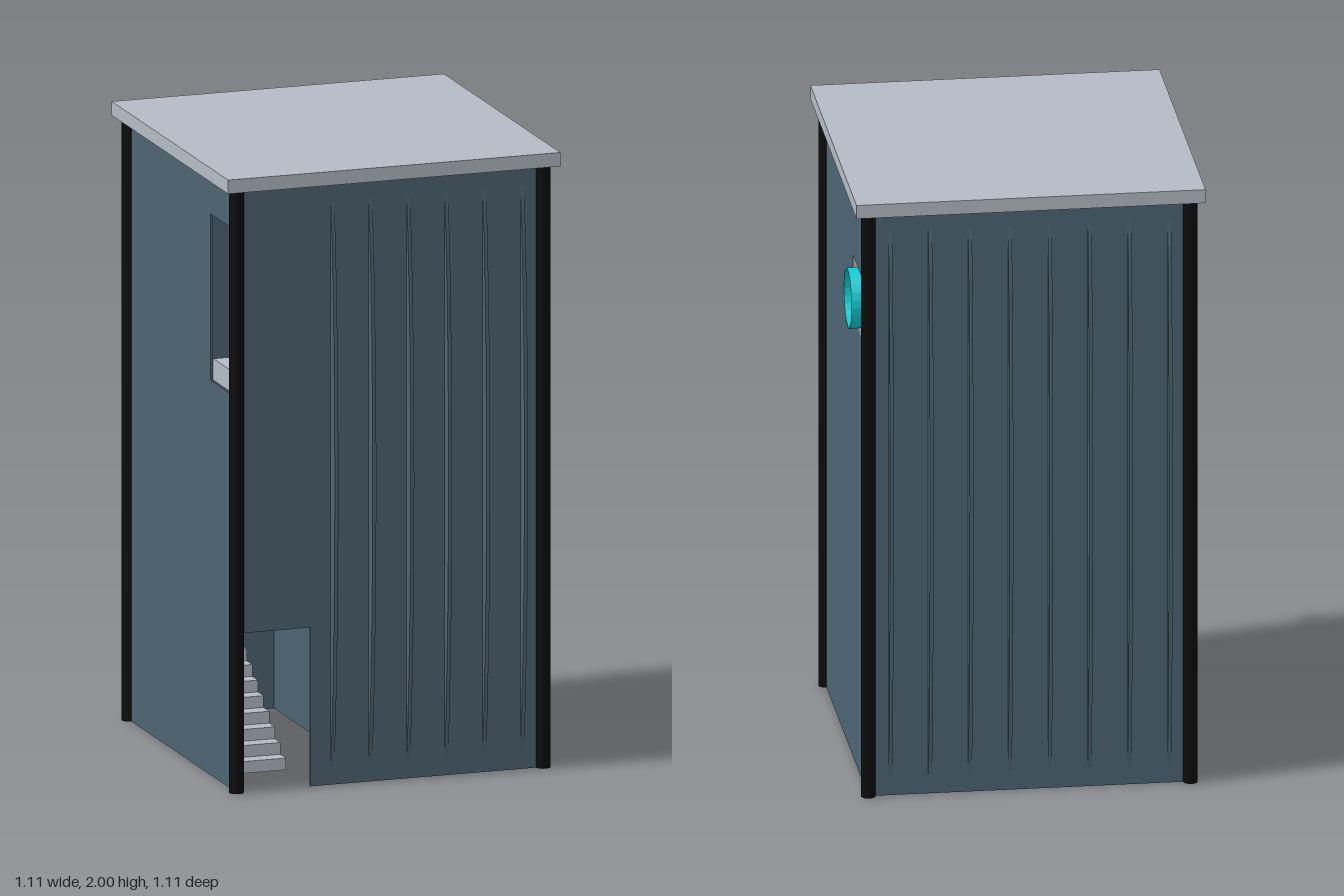
import * as THREE from 'three';

const H = 1.955; // wall height, underside of the roof
const W = 0.512; // distance of the walls from the centre
const T = 0.008; // wall thickness

export function createModel() {
  const model = new THREE.Group();
  const mat = (name, color) => {
    const m = new THREE.MeshStandardMaterial({ color });
    m.name = name;
    return m;
  };
  const blue = mat('slate blue', 0x4d6573);
  const grey = mat('light grey', 0xb4bbc4);
  const black = mat('black', 0x0b0b0b);
  const cyan = mat('cyan', 0x12cdd4);

  const add = (name, geometry, material, x = 0, y = 0, z = 0) => {
    const mesh = new THREE.Mesh(geometry, material);
    mesh.name = name;
    mesh.position.set(x, y, z);
    model.add(mesh);
    return mesh;
  };
  const box = (name, material, x0, x1, y0, y1, z0, z1) =>
    add(name, new THREE.BoxGeometry(x1 - x0, y1 - y0, z1 - z0), material,
      (x0 + x1) / 2, (y0 + y1) / 2, (z0 + z1) / 2);
  const shapeOf = (pts) => new THREE.Shape(pts.map(([x, y]) => new THREE.Vector2(x, y)));
  const extrude = (shape, depth) =>
    new THREE.ExtrudeGeometry(shape, { depth, bevelEnabled: false });

  // Roof slab
  box('roof', grey, -0.555, 0.555, H, 2, -0.555, 0.555);

  // Front wall with the doorway notch, and plain back wall
  const doorRight = -0.265, doorTop = 0.515;
  const front = shapeOf([[doorRight, 0], [W, 0], [W, H], [-W, H], [-W, doorTop], [doorRight, doorTop]]);
  add('frontWall', extrude(front, T), blue, 0, 0, W - T);
  box('backWall', blue, -W, W, 0, H, -W, -W + T);

  // Side walls, each with one rectangular opening given in z and y
  const sideWall = (name, x, z0, z1, y0, y1) => {
    const wall = shapeOf([[-W, 0], [W, 0], [W, H], [-W, H]]);
    // the shape's x axis becomes -z once the wall is turned
    wall.holes.push(shapeOf([[-z1, y0], [-z1, y1], [-z0, y1], [-z0, y0]]));
    add(name, extrude(wall, T), blue, x).rotation.y = Math.PI / 2;
  };
  sideWall('leftWall', W - T, -0.36, -0.145, 1.48, 1.685);
  sideWall('rightWall', -W, 0.265, 0.49, 1.28, 1.82);

  // Round corner posts
  for (const x of [-1, 1]) for (const z of [-1, 1]) {
    add('cornerPost', new THREE.CylinderGeometry(0.0235, 0.0235, H, 20), black, x * W, H / 2, z * W);
  }

  // Bowed ribs: six on the front, eight on the back
  const profile = [];
  for (let i = 0; i <= 16; i++) {
    const t = i / 16;
    profile.push([0.04 * Math.pow(Math.sin(Math.PI * t), 0.7), 0.065 + 1.825 * t]);
  }
  const ribGeo = extrude(shapeOf(profile), 0.012);
  ribGeo.translate(0, 0, -0.006);
  for (let i = 0; i < 8; i++) {
    const x = -0.445 + i * 0.1267;
    if (i > 1) add('frontRib', ribGeo, blue, x, 0, W).rotation.y = -Math.PI / 2;
    add('backRib', ribGeo, blue, x, 0, -W).rotation.y = Math.PI / 2;
  }

  // Inner partition
  box('partition', blue, -0.03, -0.022, 0, H, -W + T, W - T);

  // Solid flight of nine steps behind the doorway
  const steps = 9, rise = 0.345 / steps, run = 0.48 / steps;
  const flight = [[0, 0]];
  for (let i = 0; i < steps; i++) {
    flight.push([i * run, (i + 1) * rise], [(i + 1) * run, (i + 1) * rise]);
  }
  flight.push([steps * run, 0]);
  add('stairs', extrude(shapeOf(flight.reverse()), 0.235), grey, -0.265, 0, 0.28)
    .rotation.y = Math.PI / 2;
  model.getObjectByName('stairs').position.x = -0.5;

  // Landing inside the high opening
  box('landing', grey, -0.503, -0.03, 1.28, 1.35, 0.265, 0.504);

  // Square duct behind the vent
  box('ductFloor', grey, 0.4, W, 1.478, 1.49, -0.36, -0.145);
  box('ductTop', grey, 0.4, W, 1.683, 1.687, -0.36, -0.145);
  for (const z of [-0.362, -0.147]) box('ductSide', grey, 0.4, W, 1.48, 1.685, z, z + 0.004);

  // Vent collar, an open ring standing on the wall
  const ring = new THREE.LatheGeometry(
    [[0.091, -0.03], [0.097, -0.03], [0.097, 0.035], [0.091, 0.035], [0.091, -0.03]]
      .map(([r, y]) => new THREE.Vector2(r, y)), 24).toNonIndexed();
  ring.computeVertexNormals();
  add('ventCollar', ring, cyan, 0.508, 1.578, -0.252).rotation.z = -Math.PI / 2;

  return model;
}
